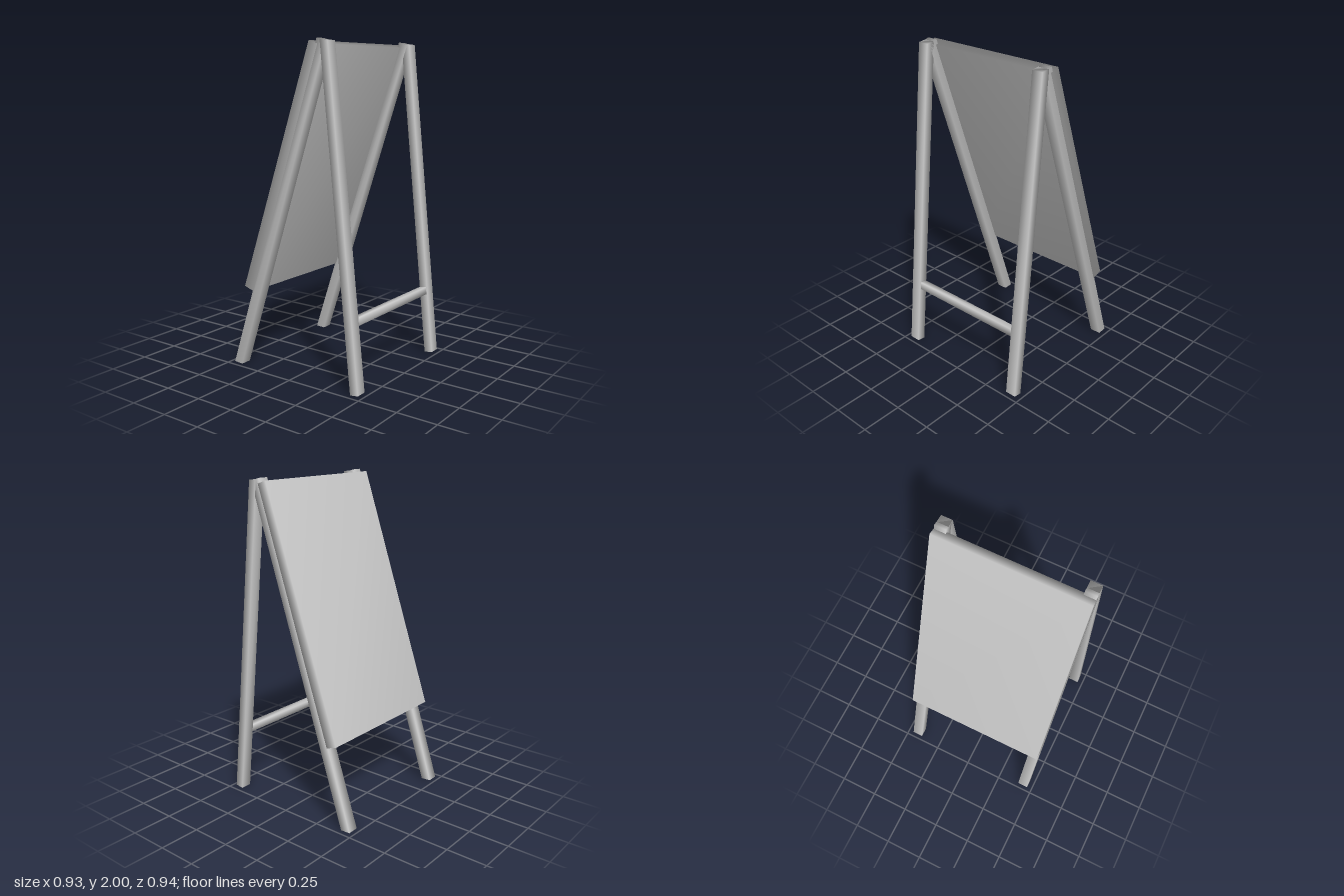
import * as THREE from 'three';
import { mergeVertices } from 'three/addons/utils/BufferGeometryUtils.js';

const material = new THREE.MeshStandardMaterial({ color: 0xcccccc });

// Solid with a side outline given as [z, y] corners, spanning `width` along x
function sidePart(name, outline, width, x = 0) {
  const shape = new THREE.Shape(outline.map(([z, y]) => new THREE.Vector2(z, y)));
  let geometry = new THREE.ExtrudeGeometry(shape, { depth: width, bevelEnabled: false });
  geometry.rotateY(-Math.PI / 2).translate(width / 2, 0, 0);

  // Share corners so the shading is smooth across the edges
  geometry.deleteAttribute('uv');
  geometry.deleteAttribute('normal');
  geometry = mergeVertices(geometry, 1e-4);
  geometry.computeVertexNormals();

  const mesh = new THREE.Mesh(geometry, material);
  mesh.name = name;
  mesh.position.x = x;
  return mesh;
}

export function createModel() {
  const group = new THREE.Group();
  group.name = 'easelBoard';

  // Side profiles of the legs, sloping to a shared apex
  const frontLeg = [[0.472, 0.007], [0.419, 0], [0.211, 1.993], [0.265, 1.986]];
  const backLeg = [[-0.41, 0], [-0.472, 0.003], [0.19, 2], [0.25, 1.982]];
  const legWidth = 0.07;
  const legX = 0.43;

  for (const [side, sign] of [['left', 1], ['right', -1]]) {
    group.add(sidePart(side + 'FrontLeg', frontLeg, legWidth, sign * legX));
    group.add(sidePart(side + 'BackLeg', backLeg, legWidth, sign * legX));
  }

  // Panel lying on the outer face of the back legs
  const panel = [[0.196, 1.968], [0.137, 1.988], [-0.372, 0.515], [-0.303, 0.492]];
  group.add(sidePart('panel', panel, 0.932));

  // Rail between the front legs, tilted with them
  const rail = [[0.424, 0.392], [0.379, 0.388], [0.375, 0.434], [0.42, 0.439]];
  group.add(sidePart('frontRail', rail, 0.8));

  return group;
}
